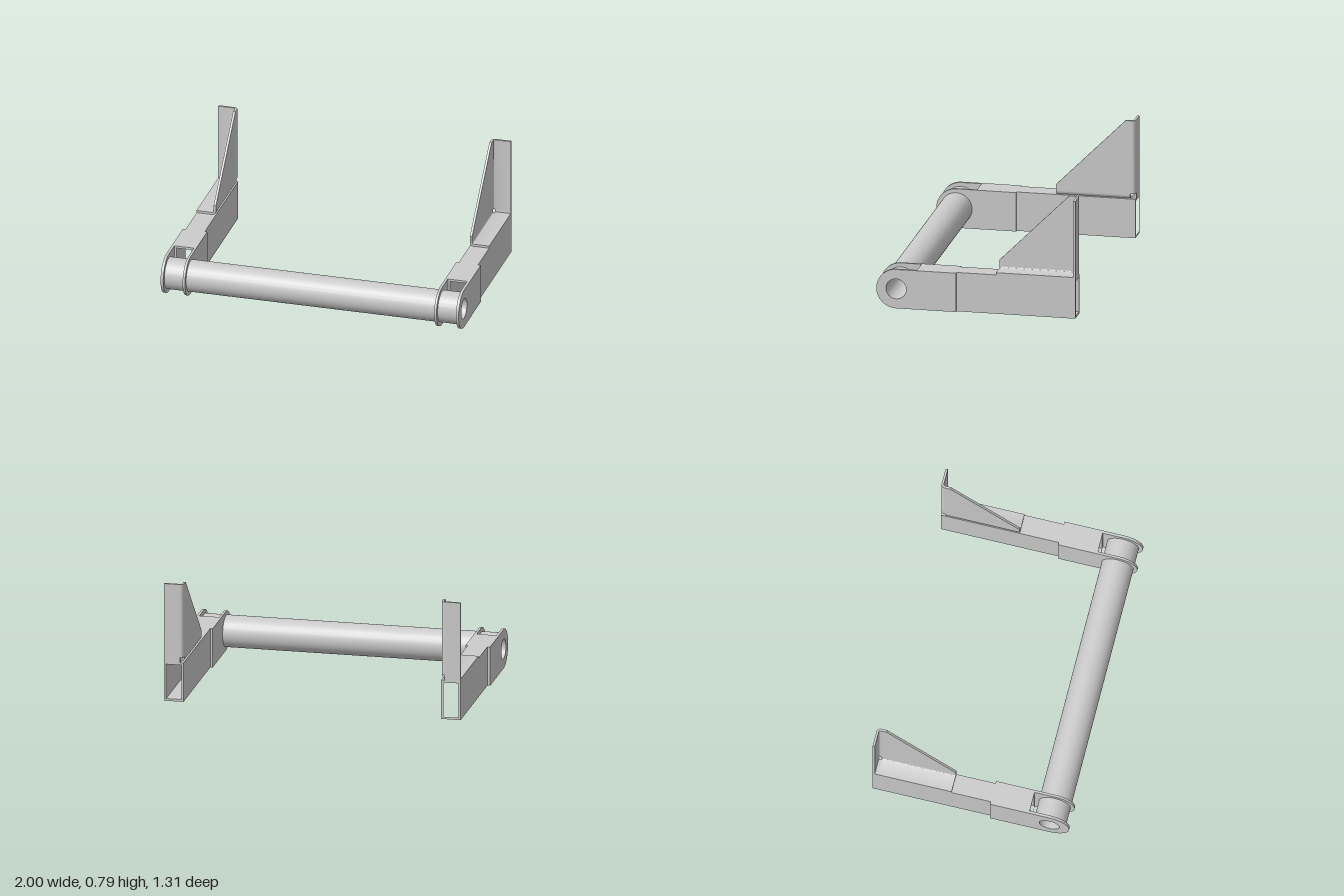
import * as THREE from 'three';
import { toCreasedNormals } from 'three/addons/utils/BufferGeometryUtils.js';

const H = 0.262;               // arm height
const X0 = 0.852, X1 = 0.982;  // arm sides
const BACK = -0.655, AXLE_Z = 0.525, AXLE_Y = H / 2;
const T = 0.015, R = 0.024;    // sheet thickness and outer bend radius

const material = new THREE.MeshStandardMaterial({ color: 0xcccccc });

function shapeOf(points) {
  return new THREE.Shape(points.map(([x, y]) => new THREE.Vector2(x, y)));
}

function circlePath(x, y, r) {
  return new THREE.Path().absarc(x, y, r, 0, Math.PI * 2, true);
}

// Extrudes a shape from a to b along an axis.
// Shape coordinates: z -> (x, y), x -> (-z, y), y -> (x, -z)
function extrude(name, shape, axis, a, b) {
  let geo = new THREE.ExtrudeGeometry(shape, { depth: b - a, bevelEnabled: false, curveSegments: 32 });
  geo.translate(0, 0, a);
  if (axis === 'x') geo.rotateY(Math.PI / 2);
  if (axis === 'y') geo.rotateX(-Math.PI / 2);
  geo = toCreasedNormals(geo, 0.5);
  const mesh = new THREE.Mesh(geo, material);
  mesh.name = name;
  return mesh;
}

function box(name, x0, x1, y0, y1, z0, z1) {
  const mesh = new THREE.Mesh(new THREE.BoxGeometry(Math.abs(x1 - x0), y1 - y0, z1 - z0), material);
  mesh.position.set((x0 + x1) / 2, (y0 + y1) / 2, (z0 + z1) / 2);
  mesh.name = name;
  return mesh;
}

// Flange with a quarter-round bend; place maps (across, out) to shape coordinates
function bentFlange(place) {
  const pts = [];
  const n = 6, w = X1 - X0;
  for (let i = 0; i <= n; i++) {
    const a = Math.PI + (i / n) * Math.PI / 2;
    pts.push(place(R + R * Math.cos(a), R + R * Math.sin(a)));
  }
  pts.push(place(w, 0), place(w, T));
  for (let i = n; i >= 0; i--) {
    const a = Math.PI + (i / n) * Math.PI / 2;
    pts.push(place(R + (R - T) * Math.cos(a), R + (R - T) * Math.sin(a)));
  }
  return shapeOf(pts);
}

// Hollow rectangular arm, open at both ends
function createArm(s) {
  const rect = (d) => [[s * (X0 + d), d], [s * (X1 - d), d], [s * (X1 - d), H - d], [s * (X0 + d), H - d]];
  const profile = shapeOf(rect(0));
  profile.holes.push(shapeOf(rect(T)));
  return extrude('arm', profile, 'z', BACK, 0.39);
}

// Round-ended plate that carries the cross tube
function createCheek(name, xa, xb, holeRadius) {
  const shape = new THREE.Shape();
  shape.moveTo(-0.13, 0);
  shape.lineTo(-0.13, H);
  shape.lineTo(-AXLE_Z, H);
  shape.absarc(-AXLE_Z, AXLE_Y, AXLE_Y, Math.PI / 2, Math.PI * 1.5, false);
  shape.closePath();
  shape.holes.push(circlePath(-AXLE_Z, AXLE_Y, holeRadius));
  return extrude(name, shape, 'x', Math.min(xa, xb), Math.max(xa, xb));
}

// Folded sheet bracket with a square relief at the corner
function createBracket(s) {
  const g = new THREE.Group();
  g.name = 'bracket';
  const top = 0.79, front = -0.13, reliefZ = -0.62, reliefY = 0.297;
  const gusset = shapeOf([
    [-front, H + R], [-front, 0.33], [0.59, top], [-BACK - R, top],
    [-BACK - R, reliefY], [-reliefZ, reliefY], [-reliefZ, H + R],
  ]);
  const xa = s * X0, xb = s * (X0 + T);
  g.add(extrude('gusset', gusset, 'x', Math.min(xa, xb), Math.max(xa, xb)));
  g.add(extrude('bottomFlange', bentFlange((u, v) => [s * (X0 + u), H + v]), 'z', reliefZ, front));
  g.add(extrude('backFlange', bentFlange((u, v) => [s * (X0 + u), -BACK - v]), 'y', reliefY, top));
  // flange ends that run past the relief
  g.add(box('bottomFlangeEnd', s * (X0 + R), s * X1, H, H + T, BACK + T, reliefZ));
  g.add(box('backFlangeEnd', s * (X0 + R), s * X1, H, reliefY, BACK, BACK + T));
  return g;
}

export function createModel() {
  const model = new THREE.Group();
  model.name = 'supportFrame';

  // Cross tube
  const ring = new THREE.Shape().absarc(-AXLE_Z, AXLE_Y, 0.105, 0, Math.PI * 2, false);
  ring.holes.push(circlePath(-AXLE_Z, AXLE_Y, 0.067));
  model.add(extrude('crossTube', ring, 'x', -0.985, 0.985));

  for (const s of [1, -1]) {
    const side = new THREE.Group();
    side.name = s > 0 ? 'leftSide' : 'rightSide';
    side.add(
      createArm(s),
      createCheek('innerCheek', s * 0.836, s * X0, 0.104),
      createCheek('outerCheek', s * X1, s * 1, 0.067),
      createBracket(s),
    );
    model.add(side);
  }
  return model;
}
